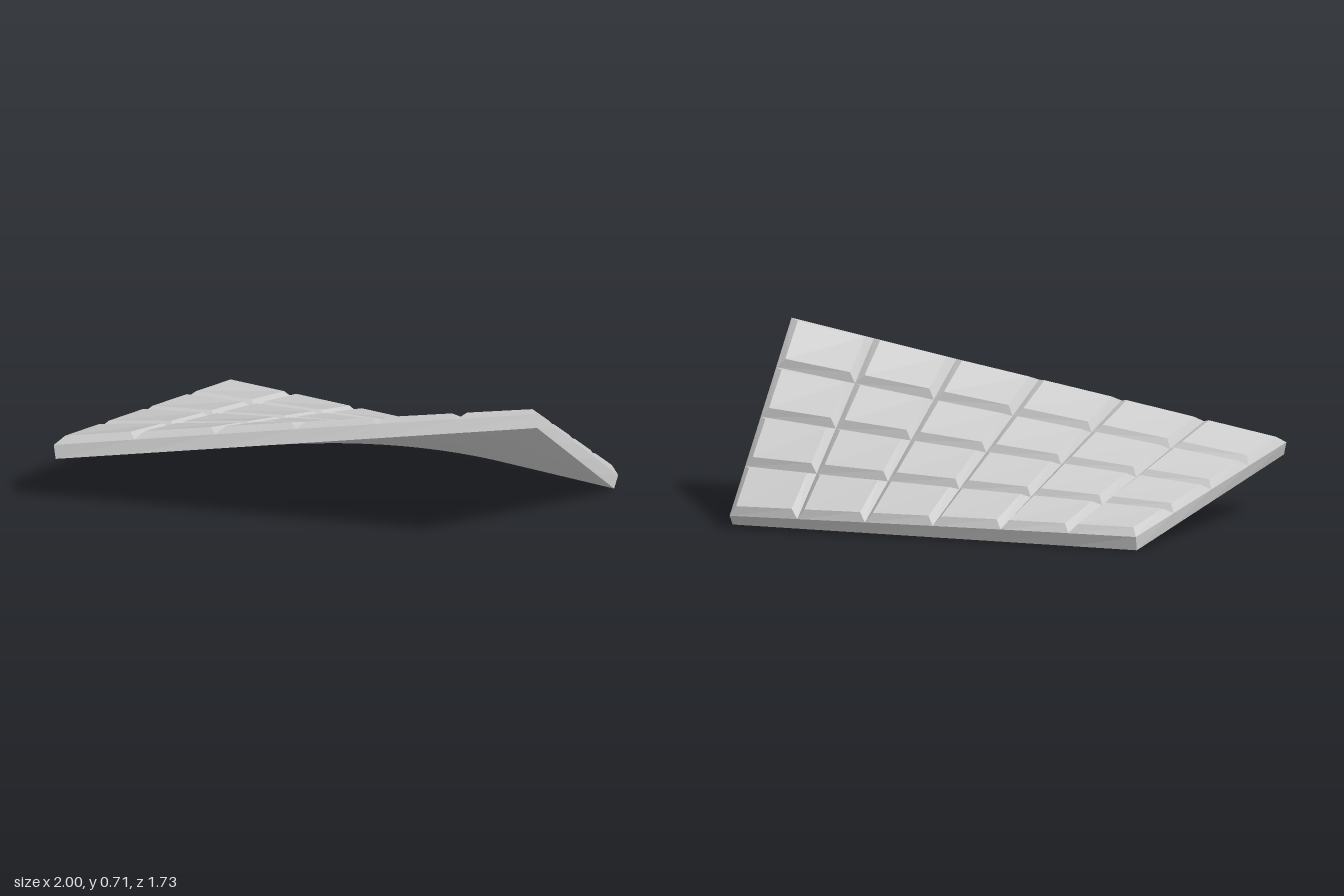
import * as THREE from 'three';

// Underside corners of the twisted bar; u runs A to B, v runs A to D
const A = new THREE.Vector3(-1, 0.22, -0.42);
const B = new THREE.Vector3(-0.04, 0, -0.85);
const C = new THREE.Vector3(0.97, 0.01, 0.44);
const D = new THREE.Vector3(0.42, 0.67, 0.87);
const COLS = 4, ROWS = 6;
const BASE = 0.055, TOP = 0.083; // slab thickness, full thickness
const INSET_U = 0.028, INSET_V = 0.0155; // bevel width as a share of each side

// Point on the ruled surface, raised by h along its normal
function point(u, v, h) {
  const ab = A.clone().lerp(B, u), dc = D.clone().lerp(C, u);
  const ad = A.clone().lerp(D, v), bc = B.clone().lerp(C, v);
  const alongV = dc.clone().sub(ab), alongU = bc.sub(ad);
  const normal = alongV.clone().cross(alongU).normalize();
  return ab.addScaledVector(alongV, v).addScaledVector(normal, h);
}

function quad(out, a, b, c, d) {
  for (const p of [a, b, c, a, c, d]) out.push(p.x, p.y, p.z);
}

// Corners of a patch, counter-clockwise from above
const ring = (u0, v0, u1, v1, h) =>
  [[u0, v0], [u0, v1], [u1, v1], [u1, v0]].map(([u, v]) => point(u, v, h));

function mesh(positions, name, material) {
  const g = new THREE.BufferGeometry();
  g.setAttribute('position', new THREE.Float32BufferAttribute(positions, 3));
  g.computeVertexNormals();
  const m = new THREE.Mesh(g, material);
  m.name = name;
  return m;
}

export function createModel() {
  const group = new THREE.Group();
  group.name = 'chocolateBar';
  const material = new THREE.MeshStandardMaterial({ color: 0xcccccc, flatShading: true });

  // Slab: underside and the four side walls
  const slab = [];
  const NU = COLS * 3, NV = ROWS * 3;
  for (let i = 0; i < NU; i++) {
    for (let j = 0; j < NV; j++) {
      const [a, b, c, d] = ring(i / NU, j / NV, (i + 1) / NU, (j + 1) / NV, 0);
      quad(slab, d, c, b, a);
    }
  }
  const wall = (u0, v0, u1, v1) => quad(slab,
    point(u0, v0, 0), point(u1, v1, 0), point(u1, v1, BASE), point(u0, v0, BASE));
  for (let i = 0; i < COLS; i++) {
    const s = i / COLS, t = (i + 1) / COLS;
    wall(t, 0, s, 0);
    wall(s, 1, t, 1);
  }
  for (let j = 0; j < ROWS; j++) {
    const s = j / ROWS, t = (j + 1) / ROWS;
    wall(0, s, 0, t);
    wall(1, t, 1, s);
  }
  group.add(mesh(slab, 'slab', material));

  // Bevelled squares, meeting in V-shaped grooves
  const squares = new THREE.Group();
  squares.name = 'squares';
  for (let i = 0; i < COLS; i++) {
    for (let j = 0; j < ROWS; j++) {
      const u0 = i / COLS, u1 = (i + 1) / COLS, v0 = j / ROWS, v1 = (j + 1) / ROWS;
      const low = ring(u0, v0, u1, v1, BASE);
      const high = ring(u0 + INSET_U, v0 + INSET_V, u1 - INSET_U, v1 - INSET_V, TOP);
      const out = [];
      quad(out, ...high);
      for (let k = 0; k < 4; k++) {
        const n = (k + 1) % 4;
        quad(out, low[k], low[n], high[n], high[k]);
      }
      squares.add(mesh(out, 'square', material));
    }
  }
  group.add(squares);
  return group;
}
